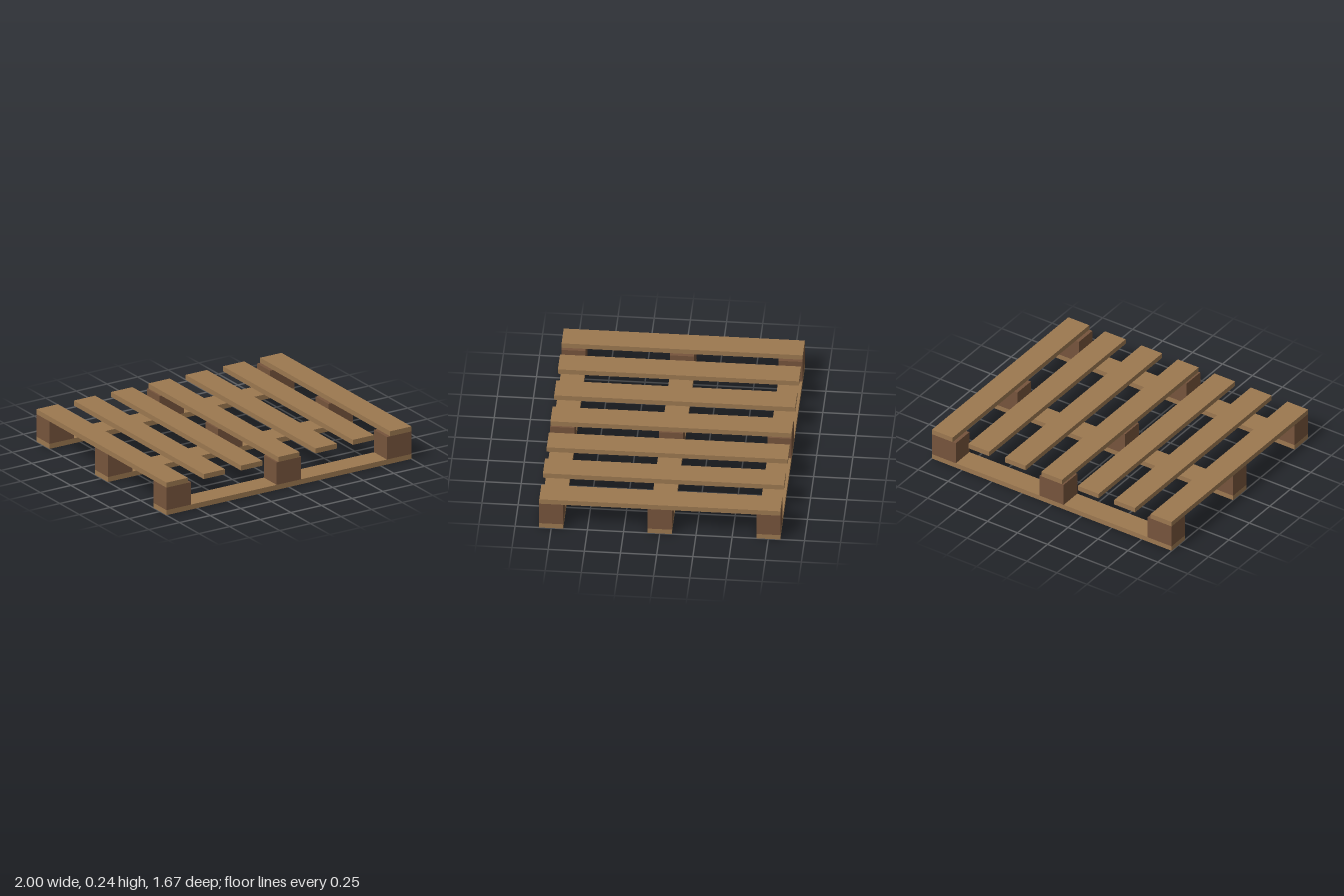
import * as THREE from 'three';

export function createModel() {
  const group = new THREE.Group();
  const plankWood = new THREE.MeshStandardMaterial({ color: 0x9c7850 });
  plankWood.name = 'plank wood';
  const blockWood = new THREE.MeshStandardMaterial({ color: 0x76543c });
  blockWood.name = 'block wood';

  const length = 2, depth = 1.666;
  const board = 0.037, blockHeight = 0.166;
  const blockWidth = 0.2, skidDepth = 0.166, slatWidth = 0.174;

  // Box standing on height y
  function addBox(name, material, w, h, d, x, y, z) {
    const mesh = new THREE.Mesh(new THREE.BoxGeometry(w, h, d), material);
    mesh.name = name;
    mesh.position.set(x, y + h / 2, z);
    group.add(mesh);
  }

  // Three bottom skids, each carrying three spacer blocks
  for (const row of [-1, 0, 1]) {
    const z = row * (depth - skidDepth) / 2;
    addBox('bottomSkid', plankWood, length, board, skidDepth, 0, 0, z);
    for (const column of [-1, 0, 1]) {
      const x = column * (length - blockWidth) / 2;
      addBox('spacerBlock', blockWood, blockWidth, blockHeight, skidDepth, x, board, z);
    }
  }

  // Seven evenly spaced deck slats running front to back
  const slats = 7;
  for (let i = 0; i < slats; i++) {
    const x = (i / (slats - 1) - 0.5) * (length - slatWidth);
    addBox('deckSlat', plankWood, slatWidth, board, depth, x, board + blockHeight, 0);
  }

  return group;
}
